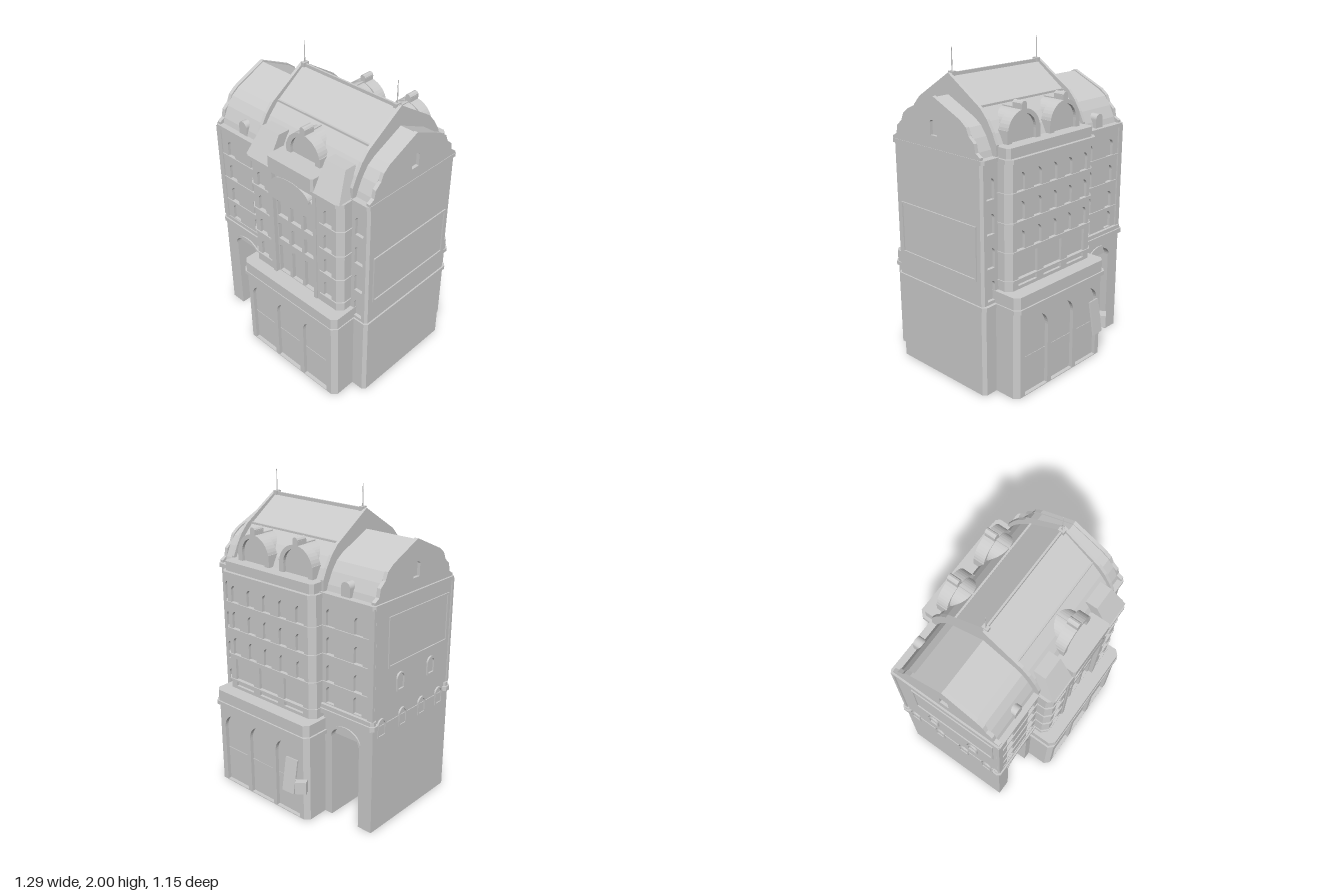
import * as THREE from 'three';

const ZC = 0.03; // ridge line
const grey = new THREE.MeshStandardMaterial({ color: 0xcccccc, flatShading: true, side: THREE.DoubleSide });

export function createModel() {
  const root = new THREE.Group();

  const add = (name, geo) => {
    const m = new THREE.Mesh(geo, grey);
    m.name = name;
    root.add(m);
    return m;
  };
  const box = (name, x0, x1, y0, y1, z0, z1) =>
    add(name, new THREE.BoxGeometry(x1 - x0, y1 - y0, z1 - z0)
      .translate((x0 + x1) / 2, (y0 + y1) / 2, (z0 + z1) / 2));
  const poly = pts => new THREE.Shape(pts.map(p => new THREE.Vector2(p[0], p[1])));
  const extrude = (shape, depth) =>
    new THREE.ExtrudeGeometry(shape, { depth, bevelEnabled: false, curveSegments: 10 });

  // upright prism over a plan outline given in (x, z)
  const prism = (name, pts, y0, y1, hole) => {
    const s = poly(pts.map(([x, z]) => [x, -z]));
    if (hole) s.holes.push(poly(hole.map(([x, z]) => [x, -z])));
    return add(name, extrude(s, y1 - y0).rotateX(-Math.PI / 2).translate(0, y0, 0));
  };
  // slab with chamfered corners
  const slab = (name, x0, x1, z0, z1, c, y0, y1) => prism(name, [
    [x0 + c, z0], [x1 - c, z0], [x1, z0 + c], [x1, z1 - c],
    [x1 - c, z1], [x0 + c, z1], [x0, z1 - c], [x0, z0 + c]], y0, y1);
  // chamfered block with a shallow pocket front and back to hold the facades
  const block = (name, x0, x1, z0, z1, c, d, y0, y1) => prism(name, [
    [x0, z0 + c], [x0 + c, z0], [x0 + c, z0 + d], [x1 - c, z0 + d], [x1 - c, z0], [x1, z0 + c],
    [x1, z1 - c], [x1 - c, z1], [x1 - c, z1 - d], [x0 + c, z1 - d], [x0 + c, z1], [x0, z1 - c]], y0, y1);

  // arched outline: centre x, sill y, width, total height, rise of the arch
  const arch = (x, y, w, h, rise = w / 2, Type = THREE.Path) => {
    const p = new Type();
    p.moveTo(x - w / 2, y);
    p.lineTo(x + w / 2, y);
    p.lineTo(x + w / 2, y + h - rise);
    p.absellipse(x, y + h - rise, w / 2, rise, 0, Math.PI, false);
    p.lineTo(x - w / 2, y);
    return p;
  };
  // wall sheet with arched openings, between z0 and z1
  const facade = (name, x0, x1, y0, y1, z0, z1, openings) => {
    const s = poly([[x0, y0], [x1, y0], [x1, y1], [x0, y1]]);
    s.holes = openings.map(o => arch(...o));
    return add(name, extrude(s, z1 - z0).translate(0, 0, z0));
  };
  const grid = (cols, rows, w, h) => rows.flatMap(y => cols.map(x => [x, y, w, h]));

  // gable-shaped profile, half outline in (distance from ridge, y), run along x
  const gable = (name, half, x0, x1, niche) => {
    const right = half.map(([d, y]) => [ZC + d, y]);
    const left = half.slice(0, -1).reverse().map(([d, y]) => [ZC - d, y]);
    const s = poly([...right, ...left]);
    if (niche) s.holes.push(niche);
    return add(name, extrude(s, x1 - x0).rotateY(-Math.PI / 2).translate(x1, 0, 0));
  };

  // ---- ground floor: thin hollow walls around the centre and the right wing
  prism('groundFloor', [
    [-0.265, -0.485], [-0.235, -0.515], [-0.235, -0.49], [0.505, -0.49], [0.505, -0.515], [0.535, -0.485],
    [0.535, -0.35], [0.613, -0.35], [0.633, -0.33], [0.633, 0.38], [0.613, 0.4], [0.535, 0.4],
    [0.535, 0.535], [0.505, 0.565], [0.505, 0.54], [-0.235, 0.54], [-0.235, 0.565], [-0.265, 0.535]], 0, 0.56, [
    [-0.245, -0.48], [0.515, -0.48], [0.515, -0.335], [0.615, -0.335],
    [0.615, 0.385], [0.515, 0.385], [0.515, 0.53], [-0.245, 0.53]]);
  const shopArches = [-0.1, 0.13, 0.365].map(x => [x, 0.005, 0.2, 0.495]);
  facade('frontArcade', -0.235, 0.505, 0, 0.56, 0.54, 0.565, shopArches);
  facade('backArcade', -0.235, 0.505, 0, 0.56, -0.515, -0.49, shopArches);
  for (const z of [0.541, -0.493]) box('arcadeRail', -0.2, 0.465, 0.235, 0.242, z, z + 0.003);
  slab('groundCornice', -0.28, 0.544, -0.53, 0.575, 0.03, 0.555, 0.58);
  slab('groundParapet', -0.268, 0.537, -0.52, 0.57, 0.03, 0.58, 0.655);
  slab('rightWingCornice', 0.45, 0.643, -0.365, 0.41, 0.02, 0.555, 0.58);

  // ---- left wing ground floor, pierced by a passage
  box('passageOuterWall', -0.63, -0.53, 0, 0.7, -0.335, 0.385);
  box('passageInnerWall', -0.32, -0.262, 0, 0.7, -0.335, 0.385);
  box('passageCeiling', -0.54, -0.25, 0.56, 0.7, -0.32, 0.37);
  for (const [zWall, zTrim] of [[-0.35, -0.358], [0.37, 0.398]]) {
    const wall = poly([[-0.255, 0], [-0.255, 0.7], [-0.63, 0.7], [-0.63, 0], [-0.53, 0]]);
    wall.absellipse(-0.425, 0.555, 0.105, 0.075, Math.PI, 0, true);
    wall.lineTo(-0.32, 0);
    add('passageFront', extrude(wall, 0.03).translate(0, 0, zWall));
    const trim = new THREE.Shape();
    trim.absellipse(-0.425, 0.555, 0.118, 0.09, 0, Math.PI, false);
    trim.absellipse(-0.425, 0.555, 0.105, 0.075, Math.PI, 0, true);
    add('passageArchTrim', extrude(trim, 0.01).translate(0, 0, zTrim));
  }
  // the cornice only returns a little way around the outer corners
  for (const [z0, z1] of [[-0.375, -0.305], [0.345, 0.415]]) {
    slab('leftWingCornice', -0.647, -0.23, z0, z1, 0.02, 0.695, 0.725);
    slab('leftWingPlinth', -0.637, -0.23, z0 + 0.01, z1 - 0.01, 0.015, 0.725, 0.75);
  }

  // ---- upper floors
  const rows = [0.72, 0.895, 1.07, 1.24];
  block('centreBody', -0.24, 0.51, -0.43, 0.49, 0.035, 0.045, 0.655, 1.43);
  for (const [x0, x1, c] of [[-0.205, -0.05, -0.135], [0.32, 0.475, 0.41]]) {
    box('bayBacking', x0, x1, 0.655, 1.43, 0.44, 0.47);
    facade('sideBay', x0, x1, 0.655, 1.43, 0.47, 0.49, grid([c], rows, 0.062, 0.11));
  }
  const bay = [0.023, 0.133, 0.242];
  facade('centreBay', -0.05, 0.32, 0.655, 1.43, 0.44, 0.47,
    [[0.66, 0.21], [0.915, 0.125], [1.09, 0.122]].flatMap(([y, h]) => bay.map(x => [x, y, 0.088, h, 0.022])));
  for (const x of [-0.055, 0.3]) box('bayPilaster', x, x + 0.025, 0.655, 1.43, 0.46, 0.497);

  box('backBacking', -0.205, 0.475, 0.655, 1.43, -0.412, -0.38);
  facade('backCentre', -0.205, 0.475, 0.655, 1.43, -0.43, -0.41, [
    ...grid([-0.14, 0, 0.135, 0.27, 0.41], rows.slice(1), 0.065, 0.115),
    ...[-0.08, 0.135, 0.35].map(x => [x, 0.675, 0.16, 0.19, 0.002])]);

  block('leftWing', -0.625, -0.2, -0.345, 0.4, 0.015, 0.02, 0.7, 1.43);
  block('rightWing', 0.48, 0.633, -0.345, 0.4, 0.015, 0.02, 0.58, 1.43);
  for (const z of [-0.345, 0.38]) {
    facade('leftWingFacade', -0.61, -0.215, 0.7, 1.43, z, z + 0.02,
      grid([-0.51, -0.3], [0.755, ...rows.slice(1)], 0.064, 0.11));
    facade('rightWingFacade', 0.495, 0.618, 0.58, 1.43, z, z + 0.02,
      grid([0.565], [0.6, 0.8, 1.005, 1.21], 0.06, 0.125));
  }
  for (const z of [-0.355, 0.39]) box('wingPilaster', -0.63, -0.592, 0.75, 1.43, z, z + 0.018);

  // string courses, broken by the recessed centre bay
  for (const y of [0.71, 0.885, 1.06, 1.235]) {
    slab('leftStringCourse', -0.246, -0.045, -0.437, 0.497, 0.035, y, y + 0.01);
    slab('rightStringCourse', 0.315, 0.516, -0.437, 0.497, 0.035, y, y + 0.01);
    box('backStringCourse', -0.09, 0.36, y, y + 0.01, -0.437, -0.4);
    if (y > 0.8) for (const z of [-0.352, 0.39]) box('wingStringCourse', -0.61, -0.22, y, y + 0.01, z, z + 0.016);
  }
  // eaves cornices
  slab('centreEaves', -0.255, 0.52, -0.448, 0.508, 0.035, 1.415, 1.44);
  slab('leftEaves', -0.632, -0.2, -0.36, 0.412, 0.015, 1.42, 1.445);
  slab('rightEaves', 0.48, 0.638, -0.36, 0.412, 0.015, 1.42, 1.445);

  // ---- roofs between raised gable parapets
  const centreHalf = [[0.375, 1.43], [0.375, 1.51], [0.345, 1.575], [0.305, 1.64], [0.255, 1.695], [0, 1.86]];
  const centreRoof = [[0.355, 1.43], [0.355, 1.5], [0.325, 1.56], [0.28, 1.62], [0.213, 1.69], [0, 1.842]];
  const wingHalf = [[0.37, 1.43], [0.37, 1.46], [0.335, 1.48], [0.325, 1.53], [0.285, 1.565],
    [0.265, 1.61], [0.22, 1.645], [0, 1.745]];
  const wingRoof = [[0.35, 1.43], [0.335, 1.48], [0.3, 1.55], [0.26, 1.605], [0.21, 1.64], [0, 1.738]];
  gable('centreRoof', centreRoof, -0.23, 0.5);
  gable('centreGableLeft', centreHalf, -0.25, -0.23);
  gable('centreGableRight', centreHalf, 0.497, 0.517);
  box('ridgeCap', -0.24, 0.51, 1.838, 1.858, ZC - 0.006, ZC + 0.006);
  for (const s of [-1, 1]) {
    box('roofBreakMoulding', -0.23, 0.5, 1.683, 1.698, ZC + s * 0.211 - 0.006, ZC + s * 0.211 + 0.006);
  }
  gable('leftRoof', wingRoof, -0.6, -0.23);
  gable('rightRoof', wingRoof, 0.5, 0.615);
  gable('leftGable', wingHalf, -0.62, -0.595, arch(ZC, 1.52, 0.06, 0.09, 0.015));
  gable('rightGable', wingHalf, 0.612, 0.635, arch(ZC, 1.52, 0.06, 0.09, 0.015));

  // roof masts
  for (const x of [-0.22, 0.485]) {
    box('mastFoot', x - 0.013, x + 0.013, 1.84, 1.866, ZC - 0.02, ZC + 0.02);
    add('mast', new THREE.CylinderGeometry(0.002, 0.004, 0.14, 6).translate(x, 1.93, ZC));
  }

  // ---- arched dormers: frame between z0 and z1, barrel roof running back into the slope
  const dormer = (x, z0, z1, dir) => {
    const s = arch(x, 1.44, 0.264, 0.24, 0.13, THREE.Shape);
    s.holes.push(arch(x, 1.46, 0.195, 0.195));
    add('dormerFrame', extrude(s, z1 - z0).translate(0, 0, z0));
    const barrelStart = dir > 0 ? z1 - 0.19 : z0 + 0.02;
    add('dormerBarrel', extrude(arch(x, 1.44, 0.204, 0.236, 0.102, THREE.Shape), 0.17).translate(0, 0, barrelStart));
    box('dormerRidge', x - 0.006, x + 0.006, 1.67, 1.682, barrelStart, barrelStart + 0.17);
    box('dormerKeystone', x - 0.02, x + 0.02, 1.655, 1.705, z0, z1);
    add('dormerFinial', new THREE.CylinderGeometry(0.02, 0.02, z1 - z0, 10)
      .rotateX(Math.PI / 2).translate(x, 1.705, (z0 + z1) / 2));
    for (const e of [-1, 1]) box('dormerShoulder', x + e * 0.122 - 0.012, x + e * 0.122 + 0.012, 1.44, 1.575, z0, z1);
  };
  dormer(0.133, 0.33, 0.4, 1);
  for (const x of [-0.045, 0.308]) dormer(x, -0.358, -0.285, -1);
  for (const z of [0.325, -0.335]) {
    add('smallDormer', extrude(arch(-0.405, 1.44, 0.066, 0.092, 0.033, THREE.Shape), 0.055).translate(0, 0, z));
  }
  slab('backParapet', -0.235, 0.505, -0.425, -0.3, 0.02, 1.44, 1.5);

  // ---- front centrepiece: curved pediment under a balcony
  add('pediment', extrude(arch(0.133, 1.23, 0.345, 0.175, 0.09, THREE.Shape), 0.035).translate(0, 0, 0.462));
  add('pedimentHood', extrude(arch(0.133, 1.34, 0.3, 0.085, 0.07, THREE.Shape), 0.05).translate(0, 0, 0.462));
  slab('balcony', -0.05, 0.315, 0.37, 0.512, 0.012, 1.44, 1.52);

  // pavilion roofs either side, sloping to the front and the outer side
  for (const [inner, outer, s] of [[-0.05, -0.238, -1], [0.315, 0.508, 1]]) {
    const g = new THREE.BoxGeometry(Math.abs(outer - inner), 0.165, 0.17)
      .translate((inner + outer) / 2, 1.5225, 0.415);
    const p = g.attributes.position;
    for (let i = 0; i < p.count; i++) if (p.getY(i) > 1.55) {
      if (p.getX(i) * s > (inner + outer) / 2 * s) p.setX(i, outer - s * 0.043);
      if (p.getZ(i) > 0.42) p.setZ(i, 0.407);
    }
    g.computeVertexNormals();
    add('pavilionRoof', g);
  }

  // ---- side walls: framed panels, and small windows on the left end
  for (const [x, z0, z1, y0, y1] of [[0.641, -0.3, 0.35, 0.73, 1.06], [-0.622, -0.22, 0.36, 1.04, 1.35]]) {
    const b = 0.012;
    const s = poly([[z0, y0], [z1, y0], [z1, y1], [z0, y1]]);
    s.holes.push(poly([[z0 + b, y0 + b], [z1 - b, y0 + b], [z1 - b, y1 - b], [z0 + b, y1 - b]]));
    add('sidePanelFrame', extrude(s, 0.01).rotateY(-Math.PI / 2).translate(x, 0, 0));
  }
  for (const [z, y] of [[-0.27, 0.63], [-0.07, 0.63], [0.12, 0.63], [0.3, 0.63], [-0.1, 0.87], [0.2, 0.87]]) {
    const s = arch(z, y, 0.075, 0.115, 0.0375, THREE.Shape);
    s.holes.push(arch(z, y + 0.008, 0.055, 0.095));
    add('endWindowFrame', extrude(s, 0.012).rotateY(-Math.PI / 2).translate(-0.624, 0, 0));
  }

  // ---- hanging boards on the back arcade
  const board = box('hangingBoard', -0.045, 0.045, -0.11, 0.11, -0.006, 0.006);
  board.position.set(-0.155, 0.3, -0.545);
  board.rotation.set(0.17, 0.08, 0);
  const crate = box('wallBox', -0.035, 0.035, -0.04, 0.04, -0.02, 0.02);
  crate.position.set(-0.24, 0.25, -0.54);
  crate.rotation.y = 0.65;

  return root;
}
